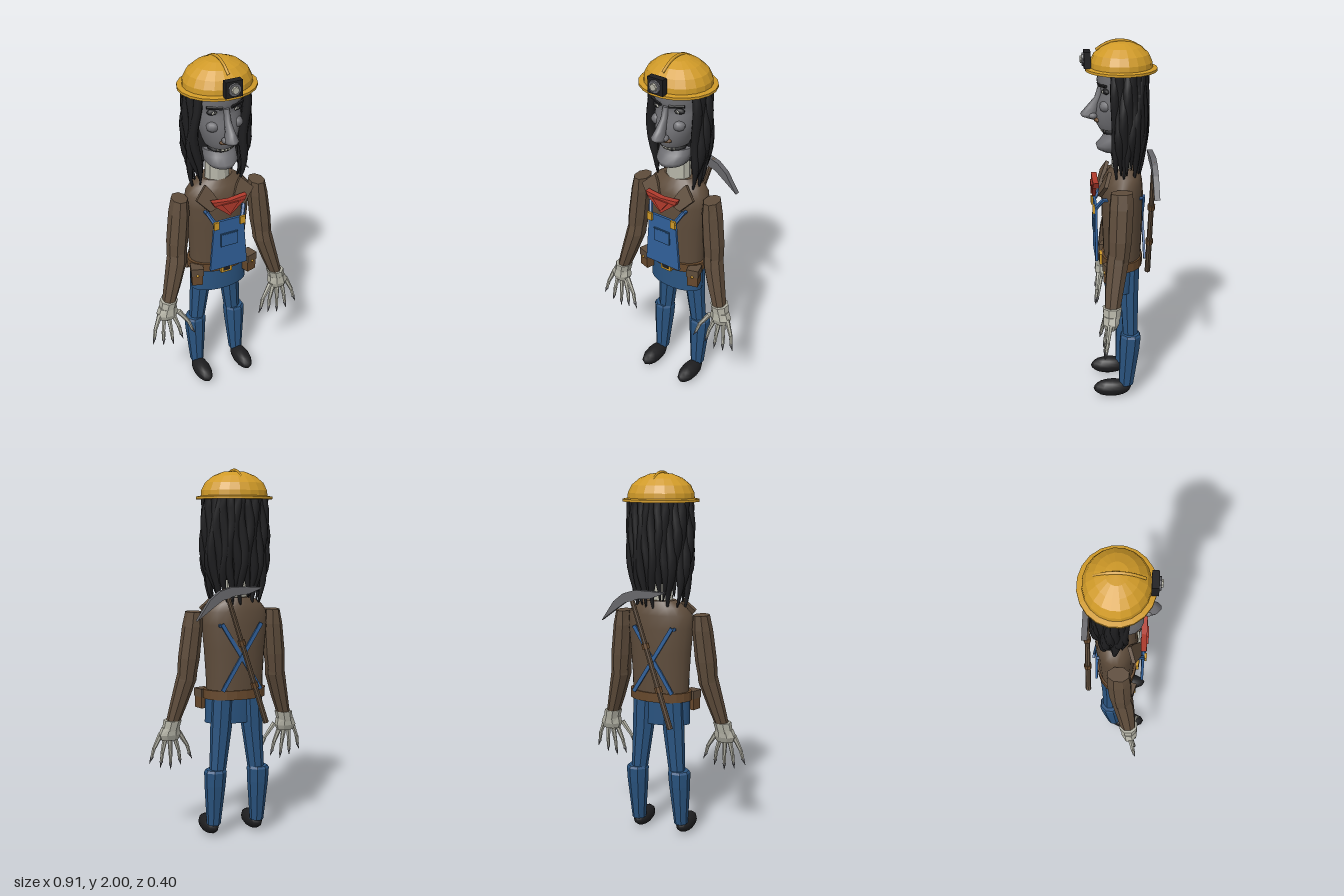
import * as THREE from 'three';

const mat = (name, color) => Object.assign(new THREE.MeshStandardMaterial({ color }), { name });

// Closed skin over ellipses listed bottom to top as [y, cx, cz, rx, rz]
function loft(rings, n = 8, flat = true) {
  const pos = [], idx = [];
  const ring = ([y, cx, cz, rx, rz]) => {
    for (let j = 0; j < n; j++) {
      const t = (j + 0.5) / n * Math.PI * 2;
      pos.push(cx + rx * Math.sin(t), y, cz + rz * Math.cos(t));
    }
  };
  rings.forEach(ring);
  for (let i = 0; i < rings.length - 1; i++) for (let j = 0; j < n; j++) {
    const a = i * n + j, b = i * n + (j + 1) % n;
    idx.push(a, b, b + n, a, b + n, a + n);
  }
  [rings[0], rings[rings.length - 1]].forEach((r, top) => {
    const base = pos.length / 3;
    ring(r);
    pos.push(r[1], r[0], r[2]);
    for (let j = 0; j < n; j++) {
      const a = base + j, b = base + (j + 1) % n;
      top ? idx.push(base + n, a, b) : idx.push(base + n, b, a);
    }
  });
  let g = new THREE.BufferGeometry();
  g.setAttribute('position', new THREE.Float32BufferAttribute(pos, 3));
  g.setIndex(idx);
  if (flat) g = g.toNonIndexed();
  g.computeVertexNormals();
  return g;
}

// Tapered rod between two points
function rod(a, b, ra, rb, n = 6) {
  const A = new THREE.Vector3(...a), B = new THREE.Vector3(...b), d = B.clone().sub(A);
  const g = new THREE.CylinderGeometry(rb, ra, d.length(), n).toNonIndexed();
  g.computeVertexNormals();
  g.applyQuaternion(new THREE.Quaternion().setFromUnitVectors(new THREE.Vector3(0, 1, 0), d.normalize()));
  return g.translate(...A.add(B).multiplyScalar(0.5).toArray());
}

const box = (w, h, d, x, y, z) => new THREE.BoxGeometry(w, h, d).translate(x, y, z);
const ball = (x, y, z, rx, ry, rz, a = 10, b = 7) =>
  new THREE.SphereGeometry(1, a, b).scale(rx, ry, rz).translate(x, y, z);
const plate = (pts, depth, z) => new THREE.ExtrudeGeometry(
  new THREE.Shape(pts.map(p => new THREE.Vector2(...p))), { depth, bevelEnabled: false }).translate(0, 0, z);

export function createModel() {
  const root = new THREE.Group();
  const yellow = mat('helmetYellow', 0xd09a28), black = mat('black', 0x1e1e20);
  const grey = mat('faceGrey', 0x707074), bone = mat('bone', 0xb4b3a6);
  const blue = mat('bibBlue', 0x30609a), navy = mat('trouserBlue', 0x2a5480);
  const brown = mat('shirtBrown', 0x5e4c3b), leather = mat('leather', 0x66482c);
  const red = mat('red', 0xb03a2c), metal = mat('metal', 0x66666a);
  const add = (name, geo, m, parent = root) => {
    const mesh = new THREE.Mesh(geo, m);
    mesh.name = name;
    parent.add(mesh);
    return mesh;
  };
  const group = name => {
    const g = new THREE.Group();
    g.name = name;
    root.add(g);
    return g;
  };

  // Helmet with brim, ridge and lamp
  const helmet = group('helmet');
  add('helmetShell', loft([[1.84, .206, .187], [1.853, .206, .187], [1.858, .18, .162], [1.885, .178, .16],
    [1.925, .158, .142], [1.96, .115, .103], [1.982, .06, .054], [1.987, .01, .009]]
    .map(([y, rx, rz]) => [y, 0, -.015, rx, rz]), 20), yellow, helmet);
  const ridge = new THREE.CatmullRomCurve3([[.115, 1.945], [.06, 1.978], [0, 1.992], [-.06, 1.983], [-.12, 1.952]]
    .map(([z, y]) => new THREE.Vector3(0, y, z)));
  add('helmetRidge', new THREE.TubeGeometry(ridge, 12, .008, 6), yellow, helmet);
  add('lampBody', box(.09, .085, .035, 0, 1.897, .16), black, helmet);
  add('lampRing', rod([0, 1.897, .17], [0, 1.897, .187], .036, .033, 10), metal, helmet);
  add('lampLens', rod([0, 1.897, .185], [0, 1.897, .196], .022, .018, 8), bone, helmet);

  // Skull, jaw and face
  const head = group('head');
  add('skull', loft([[1.535, .075, .1], [1.57, .09, .118], [1.62, .105, .118], [1.67, .118, .112], [1.72, .117, .092],
    [1.76, .118, .093], [1.785, .122, .112], [1.85, .12, .105]]
    .map(([y, rx, f]) => [y, 0, (f - .12) / 2, rx, (f + .12) / 2]), 20, false), grey, head);
  add('jaw', loft([[1.405, .035, .075], [1.425, .07, .112], [1.45, .088, .12], [1.485, .09, .088], [1.515, .088, .072]]
    .map(([y, rx, f]) => [y, 0, (f - .07) / 2, rx, (f + .07) / 2]), 16, false), grey, head);
  add('nose', loft([[1.585, 0, .12, .022, .02], [1.6, 0, .148, .038, .042], [1.615, 0, .155, .034, .045],
    [1.65, 0, .135, .024, .035], [1.7, 0, .105, .017, .02], [1.76, 0, .09, .015, .016]], 10, false), grey, head);
  add('mouthInside', ball(0, 1.525, .025, .075, .03, .064), black, head);
  add('moustache', ball(0, 1.585, .11, .048, .016, .02), leather, head);
  for (let i = -3; i <= 3; i++) {
    add('upperTooth', box(.013, .018, .008, i * .018, 1.53, .088 - i * i * .004), bone, head);
    add('lowerTooth', box(.012, .016, .008, i * .018, 1.512, .072 - i * i * .003), bone, head);
  }
  for (const s of [-1, 1]) {
    add('eyeSocket', ball(s * .062, 1.743, .066, .034, .017, .02), black, head);
    add('eye', ball(s * .062, 1.741, .073, .017, .011, .017), bone, head);
    add('pupil', ball(s * .062, 1.741, .083, .008, .008, .009), black, head);
    add('brow', rod([s * .025, 1.768, .1], [s * .1, 1.775, .072], .011, .008), black, head);
    add('cheek', ball(s * .065, 1.665, .07, .036, .03, .034), grey, head);
    add('nostril', ball(s * .026, 1.607, .135, .019, .016, .024), grey, head);
  }
  add('neck', loft([[1.2, 0, -.02, .085, .07], [1.32, 0, -.02, .07, .058], [1.45, 0, -.025, .062, .055]], 10), bone);

  // Wavy hair hanging round the back and sides
  const hair = group('hair');
  add('hairMass', loft([[1.42, 0, -.065, .1, .055], [1.55, 0, -.058, .135, .07], [1.85, 0, -.05, .14, .08]], 16, false), black, hair);
  const strands = 21;
  for (let i = 0; i < strands; i++) {
    const a = (i / (strands - 1) - .5) * 4.2, end = 1.31 + .045 * Math.sin(i * 2.4) - (i === strands - 2 ? .05 : 0);
    const rings = [];
    for (let k = 0; k <= 10; k++) {
      const u = k / 10, wave = .01 * Math.sin(u * 9 + i * 1.9);
      const spread = .93 + .1 * Math.sin(u * 3) - (1 - u) ** 3 * .12;
      const r = .025 * Math.min(1, .15 + u * 2.6);
      rings.push([end + (1.85 - end) * u, Math.sin(a) * .16 * spread + wave,
        -.028 - Math.cos(a) * .107 * spread + wave * .5, r, r]);
    }
    add('hairStrand', loft(rings, 7, false), black, hair);
  }

  // Shirt body and collar
  add('torso', loft([[.78, 0, -.02, .16, .1], [.9, 0, -.02, .162, .104], [1.05, 0, -.02, .172, .11], [1.18, 0, -.02, .185, .112],
    [1.25, 0, -.022, .18, .105], [1.29, 0, -.03, .145, .09], [1.325, 0, -.035, .09, .07]], 20, false), brown);
  for (const s of [-1, 1]) {
    const c = add('collarFlap', plate([[.03, 1.2], [.1, 1.18], [.165, 1.255], [.1, 1.325], [.075, 1.29]]
      .map(([x, y]) => [x * s, y]), .02, 0), brown);
    c.position.set(0, .5, .36);
    c.rotation.x = -.4;
    c.position.set(0, 1.25 - 1.25 * Math.cos(.4), .07 + 1.25 * Math.sin(.4));
  }
  // Neckerchief
  add('kerchiefBand', plate([[-.1, 1.262], [-.085, 1.23], [.085, 1.23], [.1, 1.262], [0, 1.25]], .03, .11), red);
  add('kerchief', plate([[-.088, 1.238], [0, 1.16], [.088, 1.238]], .02, .122), red);
  add('kerchiefFold', plate([[-.05, 1.24], [0, 1.175], [.05, 1.24]], .008, .141), red);

  // Overall bib, pocket, straps and skirt
  add('bib', plate([[-.11, .825], [.11, .825], [.085, 1.13], [-.085, 1.13]], .014, .118), blue);
  add('pocket', box(.1, .08, .008, 0, 1.01, .136), navy);
  add('pocketTrim', box(.09, .07, .004, 0, 1.01, .139), blue);
  for (const s of [-1, 1]) {
    add('frontStrap', rod([s * .075, 1.11, .132], [s * .108, 1.175, .085], .013, .011), blue);
    add('strapBuckle', box(.03, .045, .012, s * .076, 1.112, .138), yellow);
    const strap = add('backStrap', new THREE.BoxGeometry(.02, .42, .012), blue);
    strap.position.set(0, 1.01, -.13 - s * .003);
    strap.rotation.z = s * .55;
    add('sideStrap', rod([s * .108, 1.17, .09], [s * .115, 1.18, -.12], .01, .01), blue);
  }
  add('skirt', loft([[.642, 0, -.005, .165, .085], [.8, 0, -.01, .162, .088]], 20, false), navy);

  // Belt, buckle and pouches
  add('belt', loft([[.778, 0, -.018, .176, .112], [.828, 0, -.018, .176, .112]], 20), leather);
  add('beltBuckle', box(.065, .06, .014, 0, .8, .098), yellow);
  add('buckleCentre', box(.04, .036, .006, 0, .8, .105), black);
  for (const s of [-1, 1]) {
    const pouch = group('pouch');
    add('pouchBag', box(.06, .095, .06, 0, -.01, 0), leather, pouch);
    add('pouchFlap', box(.068, .045, .068, 0, .028, 0), brown, pouch);
    add('pouchStud', ball(0, .008, .035, .008, .008, .006), yellow, pouch);
    pouch.position.set(s * .157, .772, .055);
    pouch.rotation.y = s * .3;
  }

  for (const s of [-1, 1]) {
    // Legs and shoes
    add('thigh', loft([[.37, s * .113, -.057, .045, .042], [.62, s * .09, -.052, .06, .052], [.8, s * .08, -.055, .064, .056]]), navy);
    add('shin', loft([[.07, s * .128, -.033, .038, .042], [.3, s * .126, -.052, .058, .058], [.375, s * .125, -.057, .062, .06],
      [.388, s * .124, -.057, .055, .053]]), navy);
    add('shoe', ball(s * .13, .05, .045, .049, .05, .107, 12, 8), black);

    // Arms
    add('upperArm', loft([[.88, s * .262, .02, .05, .055], [1.0, s * .25, .012, .058, .064], [1.17, s * .232, .003, .054, .066],
      [1.25, s * .226, 0, .042, .06]]), brown);
    add('forearm', loft([[.63, s * .333, .06, .036, .042], [.75, s * .298, .045, .047, .052], [.88, s * .262, .026, .056, .06],
      [.95, s * .252, .018, .05, .055]]), brown);

    // Hand with long clawed fingers
    const hand = group('hand');
    add('cuff', loft([[.6, s * .342, .063, .046, .046], [.655, s * .33, .06, .049, .053]]), bone, hand);
    add('palm', loft([[.545, s * .346, .07, .05, .034], [.575, s * .346, .068, .062, .046], [.615, s * .34, .064, .05, .046]]), bone, hand);
    [[.288, .58, .2, .41], [.315, .555, .27, .385], [.342, .55, .33, .365], [.368, .555, .39, .38], [.392, .58, .452, .41]]
      .forEach(([bx, by, tx, ty], i) => {
        const z = .075 + (i === 0 ? .015 : 0), at = (u, out) => [s * (bx + (tx - bx) * u + out), by + (ty - by) * u, z + .03 * u];
        const bow = (tx - bx) * .12;
        add('fingerBase', rod(at(0, 0), at(.5, bow), .015, .01), bone, hand);
        add('fingerMiddle', rod(at(.5, bow), at(.8, 0), .011, .008), bone, hand);
        add('knuckle', ball(...at(.8, 0), .01, .01, .01, 6, 5), metal, hand);
        add('claw', rod(at(.8, 0), at(1, 0), .008, .001), metal, hand);
      });
  }

  // Pickaxe slung across the back
  const pick = group('pickaxe');
  add('pickHandle', rod([0, -.74, 0], [0, .02, 0], .016, .013, 8), brown, pick);
  for (const y of [-.28, -.52]) add('handleBand', rod([0, y - .015, 0], [0, y + .015, 0], .021, .021, 8), leather, pick);
  add('pickHead', plate([[-.2, -.085], [-.1, -.005], [-.035, .02], [.035, .02], [.11, -.005], [.2, -.04],
    [.11, -.045], [.04, -.03], [-.04, -.03], [-.1, -.05]].map(([x, y]) => [-x, y]), .03, -.015), metal, pick);
  pick.position.set(.105, 1.36, -.178);
  pick.rotation.z = -.31;

  return root;
}
